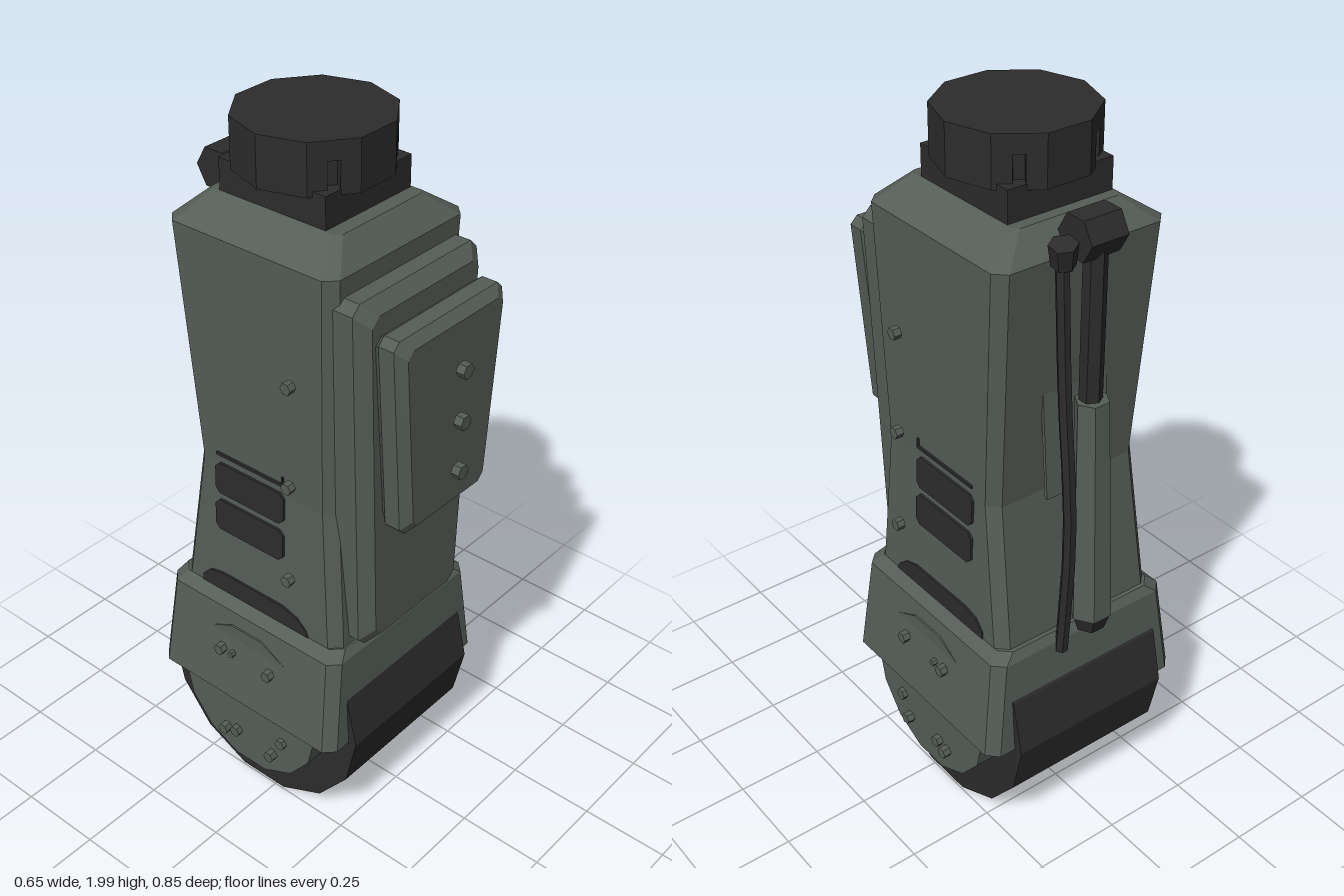
import * as THREE from 'three';

const green = new THREE.MeshStandardMaterial({ color: 0x555d57 });
green.name = 'grey green shell';
const dark = new THREE.MeshStandardMaterial({ color: 0x2c2c2c });
dark.name = 'dark rubber';

const CZ = -0.05; // depth of the main axis

// Rectangle outline with cut corners, counter-clockwise; wTop scales the upper edge
function cutRect(u0, u1, v0, v1, c) {
  return [[u0 + c, v0], [u1 - c, v0], [u1, v0 + c], [u1, v1 - c],
    [u1 - c, v1], [u0 + c, v1], [u0, v1 - c], [u0, v0 + c]];
}

// Flat-faced skin through rings of equal length, closed at both ends
function loft(rings) {
  const pos = [];
  const n = rings[0].length;
  const tri = (a, b, c) => pos.push(...a, ...b, ...c);
  for (let i = 0; i < rings.length - 1; i++) {
    for (let j = 0; j < n; j++) {
      const k = (j + 1) % n;
      tri(rings[i][j], rings[i][k], rings[i + 1][k]);
      tri(rings[i][j], rings[i + 1][k], rings[i + 1][j]);
    }
  }
  const first = rings[0], last = rings[rings.length - 1];
  for (let j = 1; j < n - 1; j++) {
    tri(first[0], first[j + 1], first[j]);
    tri(last[0], last[j], last[j + 1]);
  }
  const geo = new THREE.BufferGeometry();
  geo.setAttribute('position', new THREE.Float32BufferAttribute(pos, 3));
  geo.computeVertexNormals();
  return geo;
}

// Upright shell: sections of [y, half width, back z, front z, corner cut]
const shell = (sections) => loft(sections.map(([y, x, z0, z1, c]) =>
  cutRect(z0, z1, -x, x, c).map(([z, px]) => [px, y, z])));

// Tapered front panel: sections of [z, inset] around a trapezoid
const panel = (y0, y1, xBottom, xTop, cut, sections) => loft(sections.map(([z, inset]) =>
  cutRect(-1, 1, y0 + inset, y1 - inset, 0).map(([, y], i) => {
    const low = i < 2 || i === 2 || i === 7;
    const yy = (i === 2 || i === 7) ? y + cut : (i === 3 || i === 6) ? y - cut : y;
    const half = (low ? xBottom : xTop) - inset - ([0, 1, 4, 5].includes(i) ? cut : 0);
    return [[1, 2, 3, 4].includes(i) ? half : -half, yy, z];
  })));

// Hard-edged cylinder
function prism(rTop, rBottom, h, sides, start = 0) {
  const g = new THREE.CylinderGeometry(rTop, rBottom, h, sides, 1, false, start).toNonIndexed();
  g.computeVertexNormals();
  return g;
}

// Thin plate facing sideways, outlined in (-z, y)
const sidePlate = (pts, depth) => new THREE.ExtrudeGeometry(
  new THREE.Shape(pts.map(([a, b]) => new THREE.Vector2(a, b))), { depth, bevelEnabled: false })
  .translate(0, 0, -depth / 2).rotateY(Math.PI / 2);

export function createModel() {
  const model = new THREE.Group();
  model.name = 'canister';
  const add = (name, geo, mat, x = 0, y = 0, z = 0) => {
    const m = new THREE.Mesh(geo, mat);
    m.name = name;
    m.position.set(x, y, z);
    model.add(m);
    return m;
  };

  // Waisted body and flared skirt
  add('body', shell([
    [0.6, 0.257, -0.33, 0.24, 0.03], [1.06, 0.237, -0.265, 0.205, 0.03],
    [1.73, 0.255, -0.315, 0.22, 0.03], [1.795, 0.16, -0.25, 0.16, 0.015]]), green);
  add('skirt', shell([
    [0.32, 0.3, -0.345, 0.25, 0.03], [0.345, 0.323, -0.37, 0.273, 0.03],
    [0.625, 0.287, -0.35, 0.258, 0.03], [0.65, 0.255, -0.335, 0.242, 0.03]]), green);

  // Round base
  add('roller', prism(0.348, 0.348, 0.49, 14).rotateZ(Math.PI / 2), dark, 0, 0.348, CZ);
  add('hub', prism(0.245, 0.245, 0.595, 14).rotateZ(Math.PI / 2), green, 0, 0.345, CZ);

  // Two stacked front panels
  add('frontPanel', panel(0.65, 1.68, 0.2, 0.235, 0.025, [[0.18, 0], [0.265, 0], [0.297, 0.033]]), green);
  add('upperFrontPanel', panel(1.045, 1.61, 0.168, 0.208, 0.02,
    [[0.295, 0.02], [0.32, 0], [0.365, 0], [0.388, 0.025]]), green);
  for (const y of [1.18, 1.325, 1.47]) {
    add('frontBolt', prism(0.021, 0.021, 0.024, 6, Math.PI / 6).rotateX(Math.PI / 2), green, 0, y, 0.417);
  }

  // Neck and notched cap
  add('neck', new THREE.BoxGeometry(0.312, 0.1, 0.336), dark, 0, 1.83, CZ);
  add('capTop', prism(0.205, 0.205, 0.05, 10, Math.PI / 2), dark, 0, 1.975, CZ);
  add('capCore', prism(0.18, 0.18, 0.09, 10, Math.PI / 2), dark, 0, 1.91, CZ);
  for (let i = 0; i < 10; i++) {
    const at = (t, r) => { // point along one edge of the decagon
      const a = i * Math.PI / 5, b = a + Math.PI / 5;
      return new THREE.Vector2(r * (Math.cos(a) * (1 - t) + Math.cos(b) * t),
        r * (Math.sin(a) * (1 - t) + Math.sin(b) * t));
    };
    const spans = [1, 3, 6, 8].includes(i) ? [[0, 0.38], [0.62, 1]] : [[0, 1]];
    for (const [t0, t1] of spans) {
      const s = new THREE.Shape([at(t0, 0.17), at(t0, 0.205), at(t1, 0.205), at(t1, 0.17)]);
      add('capRim', new THREE.ExtrudeGeometry(s, { depth: 0.086, bevelEnabled: false })
        .rotateX(-Math.PI / 2), dark, 0, 1.865, CZ);
    }
  }

  // Side details, mirrored
  const vent = cutRect(-0.05, 0.19, -0.047, 0.047, 0.015);
  const arch = [[-0.14, 0.65], [0.245, 0.65], [0.245, 0.67], [0.215, 0.7], [0.17, 0.71],
    [-0.05, 0.71], [-0.1, 0.695], [-0.13, 0.67]];
  const bolts = [ // x, y, z, radius
    [0.267, 1.415, 0.093, 0.017], [0.273, 1.125, 0.093, 0.017], [0.28, 0.835, 0.093, 0.017],
    [0.312, 0.495, 0.04, 0.017], [0.312, 0.495, -0.135, 0.017], [0.306, 0.495, -0.095, 0.01],
    [0.3, 0.255, 0.075, 0.017], [0.31, 0.193, 0.04, 0.017],
    [0.31, 0.193, -0.135, 0.017], [0.304, 0.203, -0.095, 0.017]];
  for (const s of [-1, 1]) {
    add('vent', sidePlate(vent, 0.009), dark, s * 0.2415, 1.018, 0).rotation.z = s * 0.043;
    add('vent', sidePlate(vent, 0.009), dark, s * 0.2465, 0.903, 0).rotation.z = s * 0.043;
    add('ventTrim', new THREE.BoxGeometry(0.009, 0.008, 0.23), dark, s * 0.239, 1.092, -0.07);
    add('ventTrimEnd', new THREE.BoxGeometry(0.009, 0.03, 0.006), dark, s * 0.239, 1.103, 0.045);
    add('baseArch', sidePlate(arch, 0.008), dark, s * 0.254, 0, 0);
    for (const [x, y, z, r] of bolts) {
      add('sideBolt', prism(r, r, 0.022, 6).rotateZ(Math.PI / 2), green, s * x, y, z);
    }
  }

  // Back plate
  const plate = add('backPlate', new THREE.BoxGeometry(0.2, 0.5, 0.009), green, 0, 1.31, -0.286);
  plate.rotation.x = 0.0745;

  // Rear strut: green sleeve, dark rod, cross knob
  const sleeve = add('strutSleeve', prism(0.045, 0.058, 0.64, 6, Math.PI / 6), green, 0, 1.02, -0.362);
  sleeve.rotation.x = 0.035;
  add('sleeveFoot', prism(0.056, 0.04, 0.05, 6, Math.PI / 6), dark, 0, 0.68, -0.372);
  add('strutRod', prism(0.03, 0.03, 0.5, 6), dark, 0, 1.53, -0.345);
  add('strutKnob', prism(0.06, 0.06, 0.11, 6).rotateZ(Math.PI / 2), dark, 0, 1.778, -0.335);

  // Bowed side rod
  const bow = new THREE.CatmullRomCurve3([[0.1, 1.77, -0.345], [0.095, 1.4, -0.36],
    [0.088, 1.0, -0.385], [0.08, 0.6, -0.355]].map((p) => new THREE.Vector3(...p)));
  const bowGeo = new THREE.TubeGeometry(bow, 8, 0.018, 6).toNonIndexed();
  bowGeo.computeVertexNormals();
  add('bowedRod', bowGeo, dark);
  const tip = add('bowedRodTip', prism(0.036, 0.03, 0.06, 6), dark, 0.098, 1.755, -0.348);
  tip.rotation.set(-0.15, 0, -0.15);

  return model;
}
